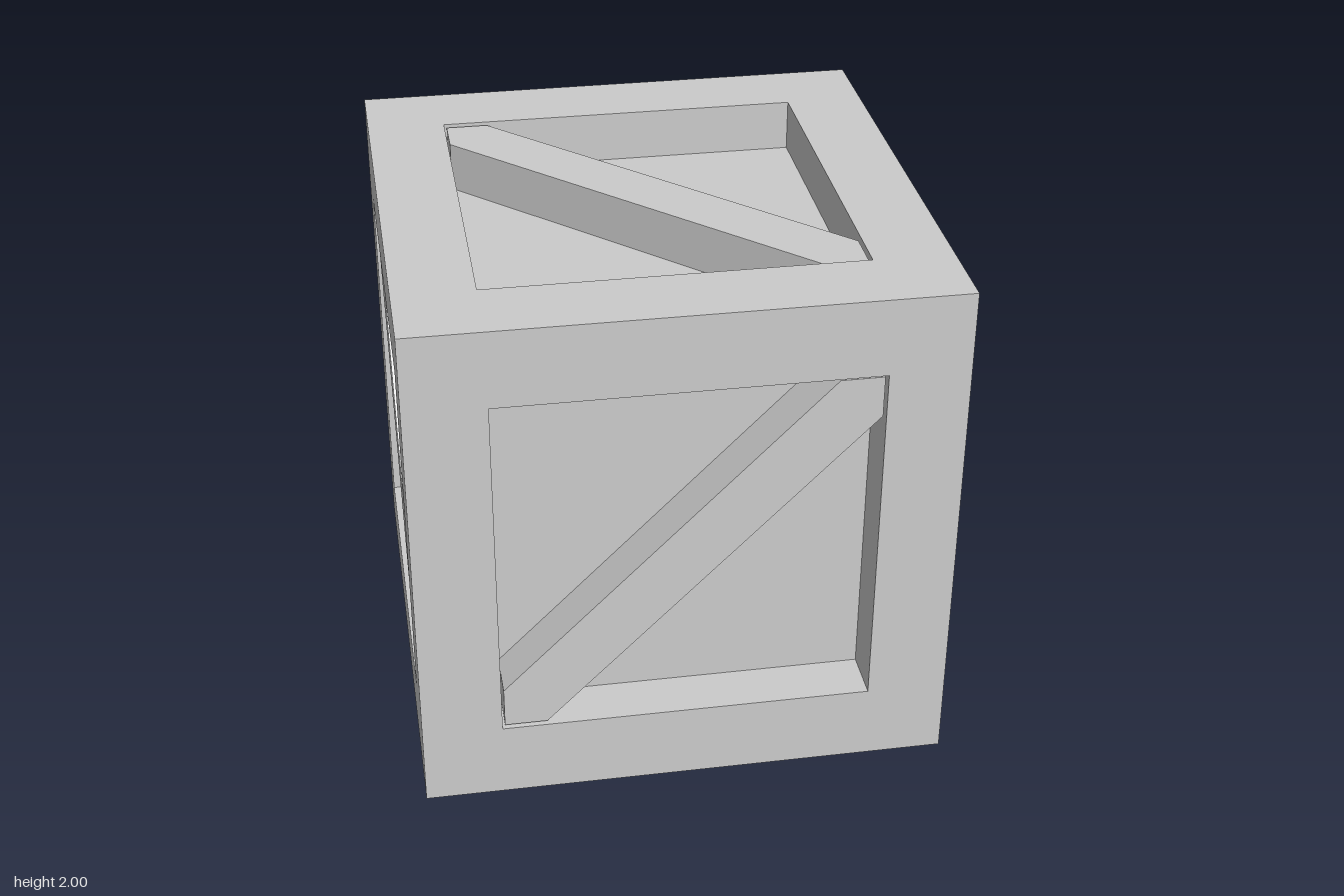
import * as THREE from 'three';

const material = new THREE.MeshStandardMaterial({ color: 0xcccccc });
const HALF = 1;       // half the crate
const RAIL = 0.3;     // rail thickness
const RECESS = 0.2;   // depth of the side panels
const OPEN = HALF - RAIL;

function add(parent, name, geometry) {
  const mesh = new THREE.Mesh(geometry, material);
  mesh.name = name;
  parent.add(mesh);
  return mesh;
}

// Diagonal plank with its ends cut square to fit the corners of the opening
function braceGeometry() {
  const a = OPEN - 0.01, b = 0.53;
  const outline = [[a, a], [b, a], [-a, -b], [-a, -a], [-b, -a], [a, b]];
  const shape = new THREE.Shape(outline.map(([x, y]) => new THREE.Vector2(x, y)));
  const geometry = new THREE.ExtrudeGeometry(shape, { depth: RECESS - 0.01, bevelEnabled: false });
  return geometry.translate(0, 0, HALF - RECESS);
}

export function createModel() {
  const crate = new THREE.Group();
  crate.name = 'crate';

  // Recessed panels, as one inner box
  const inner = 2 * (HALF - RECESS);
  add(crate, 'innerPanels', new THREE.BoxGeometry(inner, inner, inner));

  // Twelve edge rails: full-height posts, with cross rails between them
  const frame = new THREE.Group();
  frame.name = 'frame';
  crate.add(frame);
  const c = HALF - RAIL / 2;
  const post = new THREE.BoxGeometry(RAIL, 2 * HALF, RAIL);
  const railX = new THREE.BoxGeometry(2 * OPEN, RAIL, RAIL);
  const railZ = new THREE.BoxGeometry(RAIL, RAIL, 2 * OPEN);
  for (const s of [-c, c]) {
    for (const t of [-c, c]) {
      add(frame, 'cornerPost', post).position.set(s, 0, t);
      add(frame, 'crossRail', railX).position.set(0, s, t);
      add(frame, 'sideRail', railZ).position.set(s, t, 0);
    }
  }

  // One diagonal brace per side: [name, turn about x, turn about y, mirrored]
  const q = Math.PI / 2;
  const brace = braceGeometry();
  const sides = [
    ['frontBrace', 0, 0, false],
    ['backBrace', 0, 2 * q, false],
    ['leftBrace', 0, q, true],
    ['rightBrace', 0, -q, true],
    ['topBrace', -q, 0, true],
    ['bottomBrace', q, 0, true],
  ];
  for (const [name, rx, ry, mirrored] of sides) {
    add(crate, name, brace).rotation.set(rx, ry, mirrored ? q : 0);
  }

  // Stand the crate on the floor
  crate.children.forEach((part) => { part.position.y += HALF; });
  return crate;
}
